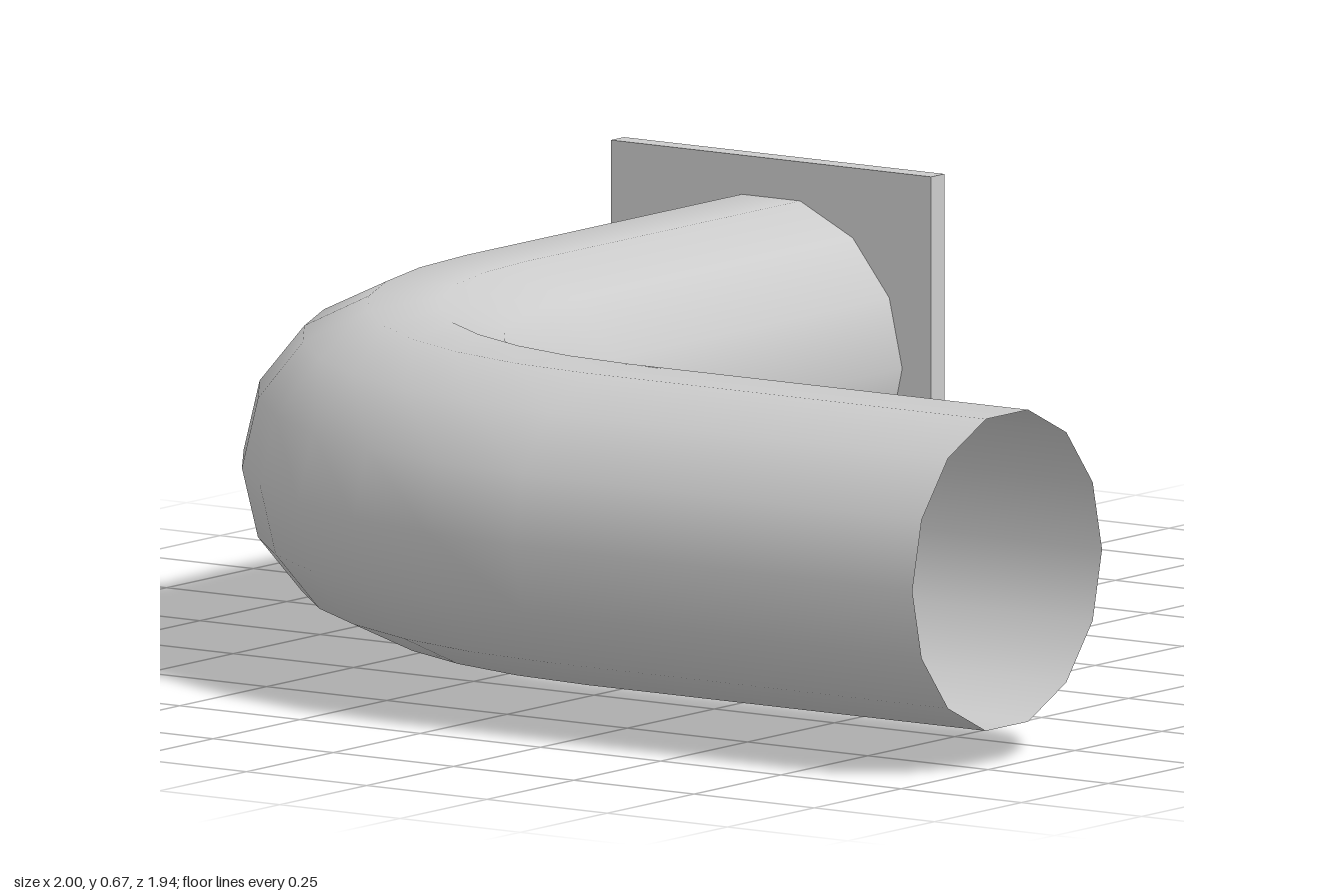
import * as THREE from 'three';

const SIDES = 14;
const PIPE_RADIUS = 0.273;
const AXIS_Y = 0.333;
const BEND = { x: 0.17, z: -0.142, radius: 0.837, steps: 9 };
const PLATE = { x: -0.667, size: 0.666, back: -0.97, front: -0.932 };

// Open cylinder whose rows of vertices are laid along straight - quarter bend - straight
function bentPipeGeometry() {
  const rows = BEND.steps + 2;
  const geometry = new THREE.CylinderGeometry(1, 1, 1, SIDES, rows, true);
  const position = geometry.attributes.position;
  const normal = geometry.attributes.normal;
  for (let i = 0; i < position.count; i++) {
    const row = Math.floor(i / (SIDES + 1));
    const step = THREE.MathUtils.clamp(row - 1, 0, BEND.steps);
    const angle = (step / BEND.steps) * Math.PI / 2;
    const outX = -Math.cos(angle), outZ = Math.sin(angle);
    const up = position.getX(i), out = position.getZ(i);
    const reach = BEND.radius + PIPE_RADIUS * out;
    let x = BEND.x + outX * reach;
    let z = BEND.z + outZ * reach;
    if (row === 0) z = PLATE.front; // end against the plate
    if (row === rows) x = 1; // open mouth
    position.setXYZ(i, x, AXIS_Y + PIPE_RADIUS * up, z);
    normal.setXYZ(i, outX * out, up, outZ * out);
  }
  return geometry;
}

export function createModel() {
  const group = new THREE.Group();
  group.name = 'pipeElbow';

  // Thin-walled pipe, visible from inside through its mouth
  const pipe = new THREE.Mesh(
    bentPipeGeometry(),
    new THREE.MeshStandardMaterial({ color: 0xcccccc, side: THREE.DoubleSide })
  );
  pipe.name = 'bentPipe';
  group.add(pipe);

  // Square plate closing the rear end
  const plate = new THREE.Mesh(
    new THREE.BoxGeometry(PLATE.size, PLATE.size, PLATE.front - PLATE.back),
    new THREE.MeshStandardMaterial({ color: 0xcccccc })
  );
  plate.name = 'mountingPlate';
  plate.position.set(PLATE.x, PLATE.size / 2, (PLATE.front + PLATE.back) / 2);
  group.add(plate);

  return group;
}
